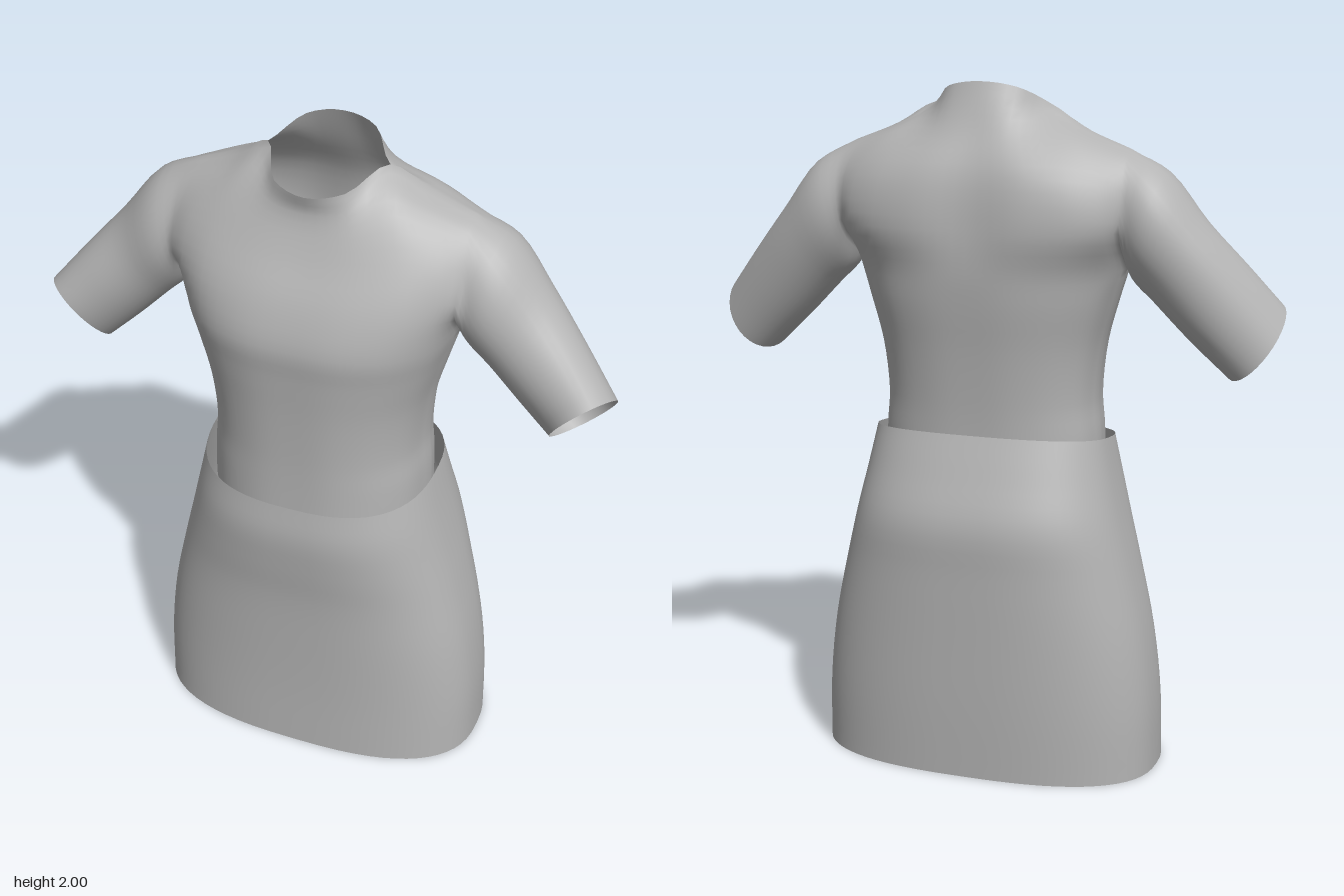
import * as THREE from 'three';
import { mergeGeometries, mergeVertices } from 'three/addons/utils/BufferGeometryUtils.js';

const V = (x, y, z) => new THREE.Vector3(x, y, z);
const SUB = 4; // subdivisions between control points

// Smooth curve through points, sampled evenly between each pair
const smooth = (pts) => new THREE.CatmullRomCurve3(pts).getPoints((pts.length - 1) * SUB);

// Surface over rows of points
function grid(rows) {
  const w = rows[0].length, pos = [], idx = [];
  rows.forEach((r) => r.forEach((p) => pos.push(p.x, p.y, p.z)));
  for (let i = 0; i < rows.length - 1; i++) {
    for (let j = 0; j < w - 1; j++) {
      const a = i * w + j, b = a + w;
      idx.push(a, a + 1, b + 1, a, b + 1, b);
    }
  }
  const g = new THREE.BufferGeometry();
  g.setAttribute('position', new THREE.Float32BufferAttribute(pos, 3));
  g.setIndex(idx);
  return g;
}

// Weld the pieces into one smooth surface
function weld(geos) {
  const g = mergeVertices(mergeGeometries(geos), 1e-4);
  g.computeVertexNormals();
  return g;
}

// Half of a waist-like section, from the centre line to the side seam
const SX = [0, 0.38, 0.7, 0.92, 1], SZ = [1, 0.97, 0.8, 0.48, 0];
const halfRow = (y, hw, z, side) => SX.map((f, i) => V(f * hw, y, side + (z - side) * SZ[i]));
const points = (list) => list.map((p) => V(...p));

// Torso below the armpit: height, half width, front z, back z
const LOWER = [
  [0.88, 0.325, 0.275, -0.205], [1.0, 0.323, 0.272, -0.207], [1.1, 0.315, 0.272, -0.212],
  [1.25, 0.33, 0.278, -0.226], [1.38, 0.365, 0.288, -0.243], [1.48, 0.395, 0.295, -0.252],
];
const ARMPIT = LOWER.length - 1;
const SIDE_Z = 0;
const SEAM = [[0.175, 1.932, -0.01], [0.28, 1.872, -0.03], [0.41, 1.82, -0.035]];

// Chest and back above the armpit, centre to armhole, ending at the neck and shoulder seam
const FRONT = [
  [[0, 1.6, 0.26], [0.15, 1.6, 0.254], [0.28, 1.605, 0.218], [0.365, 1.605, 0.165], [0.41, 1.6, 0.125]],
  [[0, 1.72, 0.195], [0.14, 1.73, 0.188], [0.26, 1.74, 0.16], [0.35, 1.735, 0.125], [0.415, 1.72, 0.09]],
  [[0, 1.83, 0.154], [0.11, 1.84, 0.14], [0.2, 1.875, 0.08], [0.285, 1.845, 0.055], [0.412, 1.795, 0.03]],
  [[0, 1.887, 0.165], [0.1, 1.9, 0.128], ...SEAM],
];
const BACK = [
  [[0, 1.6, -0.25], [0.15, 1.6, -0.262], [0.28, 1.6, -0.24], [0.365, 1.6, -0.2], [0.41, 1.6, -0.155]],
  [[0, 1.75, -0.23], [0.14, 1.75, -0.24], [0.26, 1.745, -0.22], [0.35, 1.735, -0.185], [0.415, 1.72, -0.15]],
  [[0, 1.88, -0.172], [0.1, 1.87, -0.17], [0.2, 1.87, -0.125], [0.285, 1.845, -0.12], [0.412, 1.795, -0.1]],
  [[0, 2.0, -0.125], [0.1, 1.985, -0.1], ...SEAM],
];

// Front or back panel, as rows running from -x to +x
function panelRows(upper, zIndex) {
  const net = [
    ...LOWER.map((r) => halfRow(r[0], r[1], r[zIndex], SIDE_Z)),
    ...upper.map(points),
  ];
  const cols = SX.map((_, i) => {
    const c = net.map((r) => r[i]);
    if (i < SX.length - 1) return smooth(c);
    // the side seam turns into the armhole edge here
    return [...smooth(c.slice(0, ARMPIT + 1)), ...smooth(c.slice(ARMPIT)).slice(1)];
  });
  return cols[0].map((_, k) => {
    const half = cols.map((c) => c[k]);
    const mirror = half.slice(1).reverse().map((p) => V(-p.x, p.y, p.z));
    return smooth([...mirror, ...half]);
  });
}

// Sleeve sections: lowest point, highest point, half-depth axis
const SLEEVE = [
  [[0.425, 1.452, -0.015], [0.52, 1.76, -0.04], [0, 0, 0.145]],
  [[0.485, 1.392, -0.015], [0.63, 1.625, -0.03], [0, 0, 0.132]],
  [[0.58, 1.295, -0.01], [0.735, 1.505, 0.01], [-0.01, 0.01, 0.12]],
  [[0.69, 1.192, 0], [0.836, 1.384, 0.06], [-0.04, 0.032, 0.1]],
];

function sleeveRows(armhole) {
  const n = armhole.length - 1;
  const cols = armhole.map((start, j) => {
    const a = (j / n) * Math.PI * 2;
    const rings = SLEEVE.map(([lo, hi, d]) => {
      const l = V(...lo), h = V(...hi);
      return l.clone().add(h).multiplyScalar(0.5)
        .addScaledVector(l.sub(h), 0.5 * Math.cos(a))
        .addScaledVector(V(...d), Math.sin(a));
    });
    return smooth([start, ...rings]);
  });
  return cols[0].map((_, k) => cols.map((c) => c[k]));
}

function shirtGeometry() {
  const front = panelRows(FRONT, 2), back = panelRows(BACK, 3);
  const last = front.length - 1, n = front[0].length - 1;
  // both panels share the shoulder seam
  for (let j = 0; j <= n; j++) {
    if (j <= 2 * SUB || j >= n - 2 * SUB) back[last][j].copy(front[last][j]);
  }
  const edge = (rows) => rows.slice(ARMPIT * SUB).map((r) => r[n]);
  const armhole = [...edge(front), ...edge(back).reverse().slice(1)];
  const left = sleeveRows(armhole);
  const right = left.map((r) => r.map((p) => V(-p.x, p.y, p.z)));
  return weld([
    grid(front), grid(back.map((r) => [...r].reverse())),
    grid([...left].reverse()), grid(right),
  ]);
}

// Skirt: height, half width, front z, back z
const SKIRT = [
  [0, 0.51, 0.28, -0.285], [0.2, 0.505, 0.277, -0.294], [0.4, 0.481, 0.28, -0.3],
  [0.6, 0.437, 0.288, -0.306], [0.74, 0.402, 0.303, -0.308], [0.87, 0.371, 0.312, -0.265],
  [0.985, 0.346, 0.3, -0.222],
];

function skirtGeometry() {
  const N = 64, power = 2 / 2.6;
  const bend = (v) => Math.sign(v) * Math.abs(v) ** power;
  const rings = SKIRT.map(([y, hw, zf, zb]) => Array.from({ length: N + 1 }, (_, j) => {
    const a = (j / N) * Math.PI * 2, c = bend(Math.cos(a));
    const z = c > 0 ? c * zf : -c * zb;
    // the waist rises towards the back
    return V(hw * bend(Math.sin(a)), y - 0.13 * z * (y / 0.985) ** 2, z);
  }));
  const cols = rings[0].map((_, j) => smooth(rings.map((r) => r[j])));
  return weld([grid(cols[0].map((_, k) => cols.map((c) => c[k])))]);
}

export function createModel() {
  const cloth = new THREE.MeshStandardMaterial({ color: 0xb4b4b4, side: THREE.DoubleSide });
  cloth.name = 'grey cloth';
  const model = new THREE.Group();
  model.name = 'outfit';
  const add = (name, geometry) => {
    const mesh = new THREE.Mesh(geometry, cloth);
    mesh.name = name;
    model.add(mesh);
  };
  add('shirt', shirtGeometry());
  add('skirt', skirtGeometry());
  return model;
}
